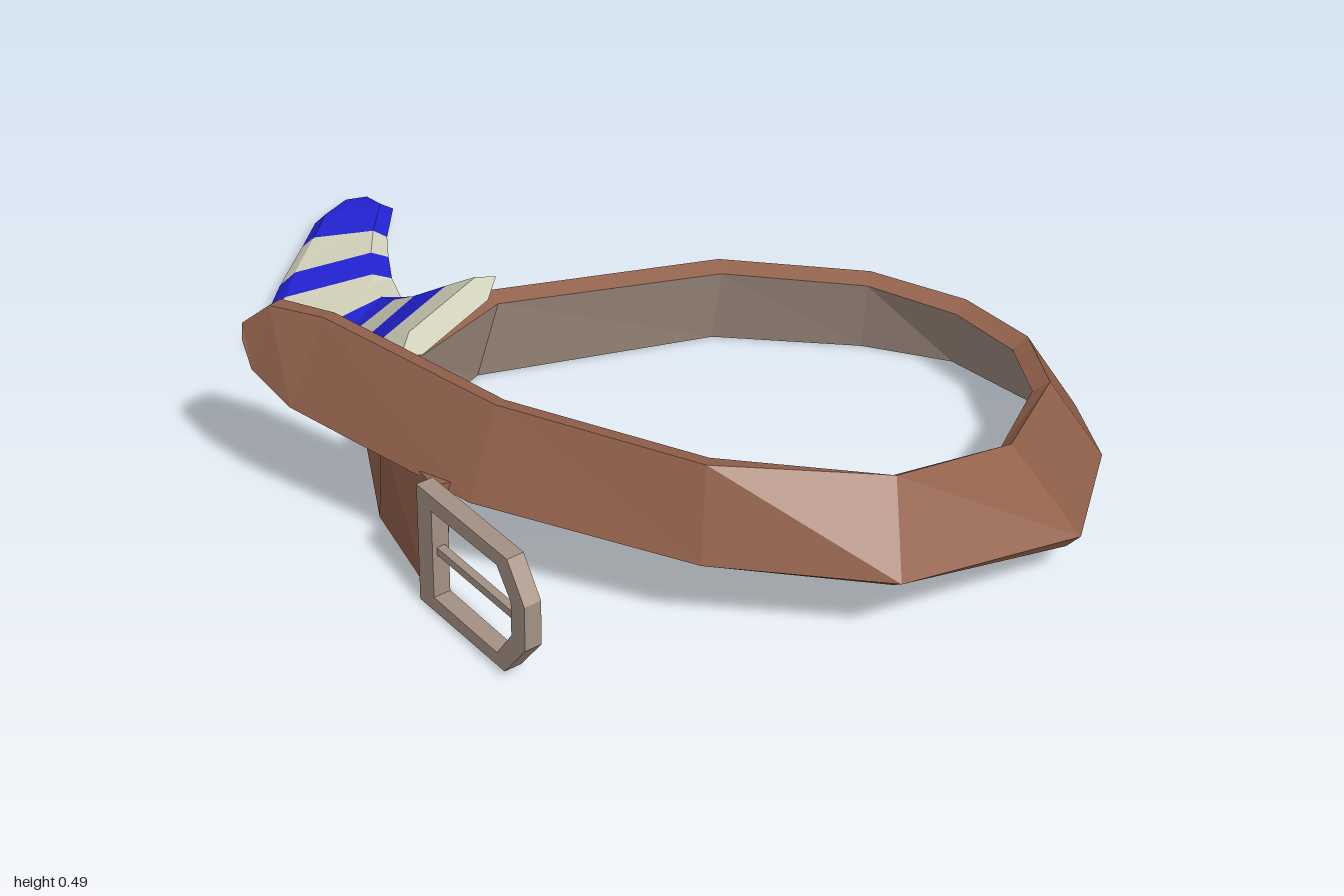
import * as THREE from 'three';

const mat = (name, color) => {
  const m = new THREE.MeshStandardMaterial({ color });
  m.name = name;
  return m;
};

// Skin a closed tube through rings; pick(segment, side) gives the material index
function loft(rings, materialCount, pick) {
  const buckets = Array.from({ length: materialCount }, () => []);
  const tri = (m, ...pts) => pts.forEach(p => buckets[m].push(p.x, p.y, p.z));
  const n = rings[0].length, last = rings.length - 1;
  for (let i = 0; i < last; i++) {
    for (let a = 0; a < n; a++) {
      const b = (a + 1) % n, m = pick(i, a);
      tri(m, rings[i][a], rings[i][b], rings[i + 1][b]);
      tri(m, rings[i][a], rings[i + 1][b], rings[i + 1][a]);
    }
  }
  for (let a = 1; a < n - 1; a++) {
    tri(pick(0, 0), rings[0][0], rings[0][a + 1], rings[0][a]);
    tri(pick(last - 1, 0), rings[last][0], rings[last][a], rings[last][a + 1]);
  }
  const geo = new THREE.BufferGeometry();
  geo.setAttribute('position', new THREE.Float32BufferAttribute(buckets.flat(), 3));
  let start = 0;
  buckets.forEach((b, m) => {
    geo.addGroup(start, b.length / 3, m);
    start += b.length / 3;
  });
  geo.computeVertexNormals();
  return geo;
}

// Strap stations from buckle to tip: outer lower edge, then outer upper edge
const STRAP = [
  [-0.10, 0.035, 0.555, -0.09, 0.265, 0.53],
  [-0.30, 0.025, 0.40, -0.29, 0.245, 0.40],
  [-0.47, 0.01, 0.18, -0.42, 0.225, 0.16],
  [-0.43, 0.005, -0.17, -0.37, 0.22, -0.16],
  [-0.05, 0, -0.55, -0.01, 0.21, -0.51],
  [0.26, 0, -0.68, 0.29, 0.205, -0.63],
  [0.47, 0.005, -0.72, 0.51, 0.205, -0.63],
  [0.77, 0.025, -0.63, 0.68, 0.21, -0.56],
  [0.90, 0.05, -0.46, 0.79, 0.22, -0.42],
  [1.00, 0.12, -0.10, 0.83, 0.265, -0.13],
  [0.79, 0.185, 0.28, 0.72, 0.345, 0.17],
  [0.44, 0.20, 0.43, 0.42, 0.395, 0.375],
  [-0.02, 0.235, 0.51, 0, 0.43, 0.44],
  [-0.45, 0.29, 0.475, -0.40, 0.485, 0.415],
  [-0.55, 0.335, 0.455, -0.52, 0.48, 0.425],
  [-0.575, 0.39, 0.445, -0.58, 0.425, 0.435],
];

function strapGeometry() {
  const low = STRAP.map(s => new THREE.Vector3(s[0], s[1], s[2]));
  const high = STRAP.map(s => new THREE.Vector3(s[3], s[4], s[5]));
  const mid = low.map((p, i) => p.clone().add(high[i]).multiplyScalar(0.5));
  const rings = mid.map((_, i) => {
    const along = mid[Math.min(i + 1, mid.length - 1)].clone().sub(mid[Math.max(i - 1, 0)]);
    const inward = along.cross(high[i].clone().sub(low[i])).setLength(0.042);
    const ring = [low[i], high[i], high[i].clone().add(inward), low[i].clone().add(inward)];
    ring.forEach(p => { p.y = Math.max(p.y, 0); });
    return ring;
  });
  return loft(rings, 2, (seg, side) => (side === 2 ? 1 : 0));
}

// Sock stations from cuff to toe: inner edge x z, outer edge x z, half thickness, stripe
const SOCK = [
  [-0.34, -0.14, -0.385, 0.165, 0.028, 0],
  [-0.42, -0.145, -0.46, 0.14, 0.025, 1],
  [-0.505, -0.15, -0.54, 0.105, 0.022, 0],
  [-0.585, -0.21, -0.66, 0.06, 0.022, 1],
  [-0.645, -0.25, -0.76, 0.05, 0.022, 0],
  [-0.69, -0.295, -0.87, 0.01, 0.022, 0],
  [-0.705, -0.31, -0.89, -0.10, 0.022, 1],
  [-0.76, -0.385, -0.925, -0.20, 0.022, 0],
  [-0.81, -0.46, -0.97, -0.36, 0.02, 1],
  [-0.865, -0.575, -1.0, -0.46, 0.018, 1],
  [-0.93, -0.59, -0.985, -0.55, 0.013, 1],
];

// Height of the sock's middle: flat foot, then a leg rising to the belt
const DRAPE = [[-1.1, 0.015], [-1, 0.02], [-0.75, 0.05], [-0.64, 0.06], [-0.5, 0.175], [-0.34, 0.275], [-0.2, 0.36]];
function drape(x) {
  let i = 0;
  while (i < DRAPE.length - 2 && x > DRAPE[i + 1][0]) i++;
  const [x0, y0] = DRAPE[i], [x1, y1] = DRAPE[i + 1];
  return y0 + (y1 - y0) * (x - x0) / (x1 - x0);
}

function sockGeometry() {
  const section = [[1, 0], [0.85, 1], [0.15, 1], [0, 0], [0.15, -1], [0.85, -1]];
  const rings = SOCK.map(([ax, az, bx, bz, half]) => section.map(([t, k]) => {
    const x = ax + (bx - ax) * t;
    const slope = (drape(x + 0.03) - drape(x - 0.03)) / 0.06;
    const offset = k * half / Math.hypot(slope, 1);
    return new THREE.Vector3(
      Math.max(-1, x - slope * offset), Math.max(0, drape(x) + offset), az + (bz - az) * t);
  }));
  return loft(rings, 2, seg => SOCK[seg][5]);
}

const outline = (pts, Type) => new Type(pts.map(([x, y]) => new THREE.Vector2(x, y)));

export function createModel() {
  const leather = mat('brown leather', 0x93624c);
  const taupe = mat('taupe lining and metal', 0xa59184);
  const cream = mat('cream wool', 0xd6d5be);
  const blue = mat('blue wool', 0x2323d8);

  const model = new THREE.Group();
  model.name = 'beltWithSock';
  const add = (parent, name, geometry, material) => {
    const mesh = new THREE.Mesh(geometry, material);
    mesh.name = name;
    parent.add(mesh);
    return mesh;
  };

  add(model, 'strap', strapGeometry(), [leather, taupe]);
  add(model, 'stripedSock', sockGeometry(), [cream, blue]);

  // Buckle: bevelled frame with a central prong
  const buckle = new THREE.Group();
  buckle.name = 'buckle';
  buckle.position.set(-0.09, 0, 0.53);
  buckle.rotation.y = -0.44;
  model.add(buckle);
  const frame = outline([[0, 0.005], [0.29, 0.015], [0.36, 0.11], [0.36, 0.215], [0.305, 0.295], [0, 0.285]], THREE.Shape);
  frame.holes.push(outline([[0.05, 0.04], [0.05, 0.25], [0.27, 0.26], [0.315, 0.20], [0.315, 0.12], [0.265, 0.045]], THREE.Path));
  add(buckle, 'buckleFrame', new THREE.ExtrudeGeometry(frame, { depth: 0.038, bevelEnabled: false }), taupe);
  const prong = add(buckle, 'buckleProng', new THREE.BoxGeometry(0.31, 0.018, 0.018), taupe);
  prong.position.set(0.18, 0.153, 0.019);
  prong.rotation.z = 0.03;

  return model;
}
